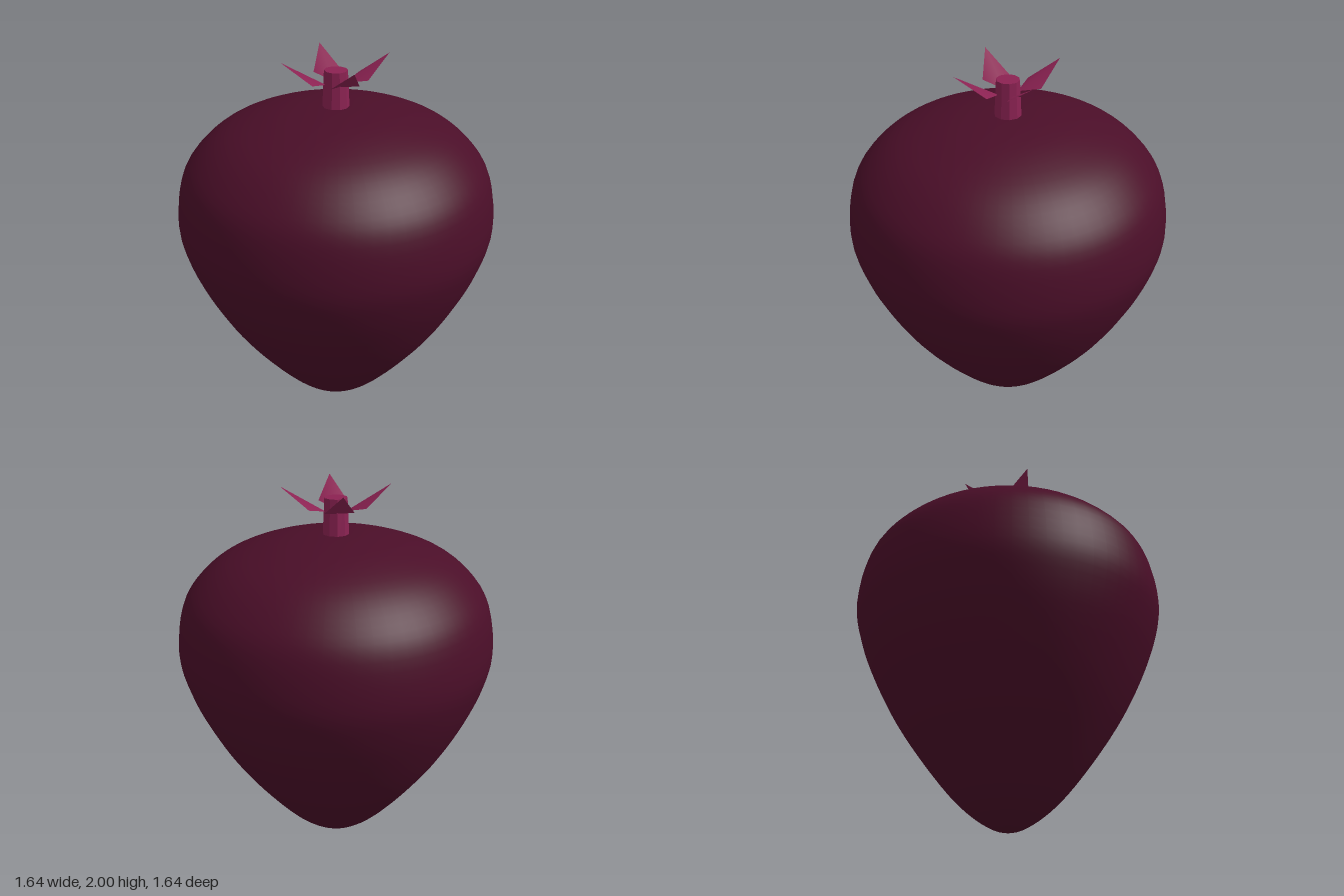
import * as THREE from 'three';

export function createModel() {
  const model = new THREE.Group();
  model.name = 'fruit';

  const skin = new THREE.MeshStandardMaterial({ color: 0x4a0e28 });
  skin.name = 'dark plum skin';
  const stalk = new THREE.MeshStandardMaterial({ color: 0x8b2252, side: THREE.DoubleSide });
  stalk.name = 'magenta stalk';

  // Smooth teardrop body, turned from a splined profile
  const profile = new THREE.SplineCurve([
    [0, 0], [0.08, 0.02], [0.19, 0.09], [0.31, 0.205], [0.465, 0.4], [0.6, 0.6],
    [0.71, 0.81], [0.785, 1.0], [0.82, 1.18], [0.785, 1.4], [0.7, 1.535],
    [0.56, 1.645], [0.36, 1.72], [0.16, 1.755], [0, 1.76],
  ].map(([x, y]) => new THREE.Vector2(x, y)));
  const points = profile.getPoints(56).map((p) => new THREE.Vector2(Math.max(p.x, 0), p.y));
  const body = new THREE.Mesh(new THREE.LatheGeometry(points, 64), skin);
  body.name = 'body';
  model.add(body);

  // Short faceted stem, slightly wider at the base
  const stemGeometry = new THREE.CylinderGeometry(0.058, 0.07, 0.24, 10).toNonIndexed();
  stemGeometry.computeVertexNormals();
  const stem = new THREE.Mesh(stemGeometry, stalk);
  stem.name = 'stem';
  stem.position.y = 1.82;
  model.add(stem);

  // Four diamond leaves, each folded softly along its middle
  const leafGeometry = new THREE.BufferGeometry();
  leafGeometry.setAttribute('position', new THREE.Float32BufferAttribute([
    0.05, 1.87, 0,
    0.14, 1.895, 0.072,
    0.273, 2, 0,
    0.14, 1.895, -0.072,
  ], 3));
  leafGeometry.setIndex([0, 1, 2, 0, 2, 3]);
  leafGeometry.computeVertexNormals();
  for (let i = 0; i < 4; i++) {
    const leaf = new THREE.Mesh(leafGeometry, stalk);
    leaf.name = `leaf${i + 1}`;
    leaf.rotation.y = (i * Math.PI) / 2;
    model.add(leaf);
  }

  return model;
}
